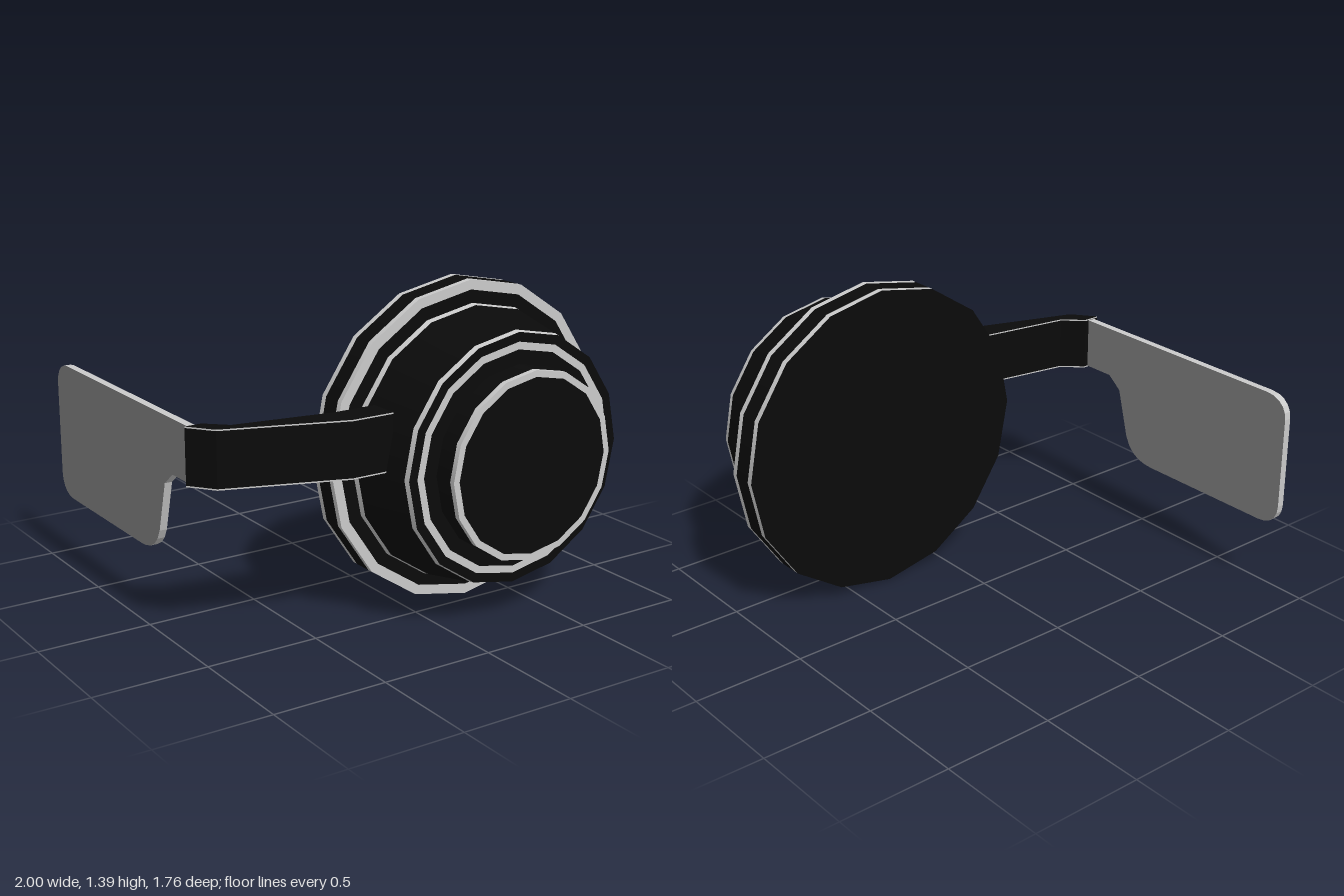
import * as THREE from 'three';

const black = new THREE.MeshStandardMaterial({ name: 'black', color: 0x0a0a0a });
const silver = new THREE.MeshStandardMaterial({ name: 'silver', color: 0xcacaca });
const grey = new THREE.MeshStandardMaterial({ name: 'grey', color: 0x868686 });

const SIDES = 16;

// One ring of a turned body: a strip from (r0, z0) to (r1, z1) around the z axis.
function ring(group, name, r0, z0, r1, z1, material) {
  const geo = new THREE.LatheGeometry([new THREE.Vector2(r0, z0), new THREE.Vector2(r1, z1)], SIDES);
  geo.rotateX(Math.PI / 2);
  const mesh = new THREE.Mesh(geo, material);
  mesh.name = name;
  group.add(mesh);
}

// Turned body from a profile; each step is [radius, z, material of the strip leading to it].
function turned(name, steps) {
  const group = new THREE.Group();
  group.name = name;
  for (let i = 1; i < steps.length; i++) {
    const [r0, z0] = steps[i - 1];
    const [r1, z1, material] = steps[i];
    ring(group, name + 'Ring' + i, r0, z0, r1, z1, material);
  }
  group.position.set(0.305, 0.697, 0);
  return group;
}

function polygon(points) {
  return new THREE.Shape(points.map(([x, y]) => new THREE.Vector2(x, y)));
}

export function createModel() {
  const model = new THREE.Group();

  // Wide back disc with silver rims
  model.add(turned('backDisc', [
    [0, 0.305], [0.695, 0.305, black], [0.695, 0.332, silver], [0.695, 0.418, black],
    [0.695, 0.444, silver], [0.652, 0.444, silver], [0, 0.444, black],
  ]));

  // Tapered housing
  model.add(turned('housing', [
    [0, 0.451], [0.597, 0.451, black], [0.592, 0.477, silver], [0.54, 0.74, black],
    [0.535, 0.765, silver], [0.495, 0.765, black], [0.463, 0.765, silver], [0, 0.765, black],
  ]));

  // Front cap
  model.add(turned('frontCap', [
    [0.402, 0.765], [0.402, 0.855, black], [0.402, 0.88, silver],
    [0.374, 0.88, silver], [0, 0.88, black],
  ]));

  // Bent arm, with thin silver edges above and below
  const armShape = polygon([
    [-0.22, -0.64], [-0.22, -0.51], [-0.41, -0.51], [-0.84, -0.44],
    [-0.925, -0.36], [-1, -0.36], [-0.92, -0.465], [-0.41, -0.64],
  ]);
  const armLayers = [
    ['armLowerEdge', 0.705, 0.711, silver],
    ['arm', 0.711, 0.944, black],
    ['armUpperEdge', 0.944, 0.95, silver],
  ];
  for (const [name, y0, y1, sideMaterial] of armLayers) {
    const geo = new THREE.ExtrudeGeometry(armShape, { depth: y1 - y0, bevelEnabled: false });
    geo.rotateX(-Math.PI / 2);
    const mesh = new THREE.Mesh(geo, [black, sideMaterial]);
    mesh.name = name;
    mesh.position.y = y0;
    model.add(mesh);
  }

  // Flat rounded blade reaching backwards: grey faces, silver rim
  const s = new THREE.Shape();
  s.moveTo(-0.37, 0.71);
  s.lineTo(-0.205, 0.71);
  s.lineTo(-0.135, 0.655);
  s.lineTo(-0.075, 0.435);
  s.bezierCurveTo(-0.045, 0.355, 0.02, 0.33, 0.1, 0.33);
  s.lineTo(0.77, 0.33);
  s.bezierCurveTo(0.84, 0.33, 0.88, 0.37, 0.88, 0.43);
  s.lineTo(0.88, 0.845);
  s.bezierCurveTo(0.88, 0.9, 0.84, 0.943, 0.77, 0.943);
  s.lineTo(-0.37, 0.943);
  const bladeGeo = new THREE.ExtrudeGeometry(s, { depth: 0.033, bevelEnabled: false, curveSegments: 5 });
  bladeGeo.rotateY(Math.PI / 2);
  const blade = new THREE.Mesh(bladeGeo, [grey, silver]);
  blade.name = 'blade';
  blade.position.x = -0.978;
  model.add(blade);

  return model;
}
